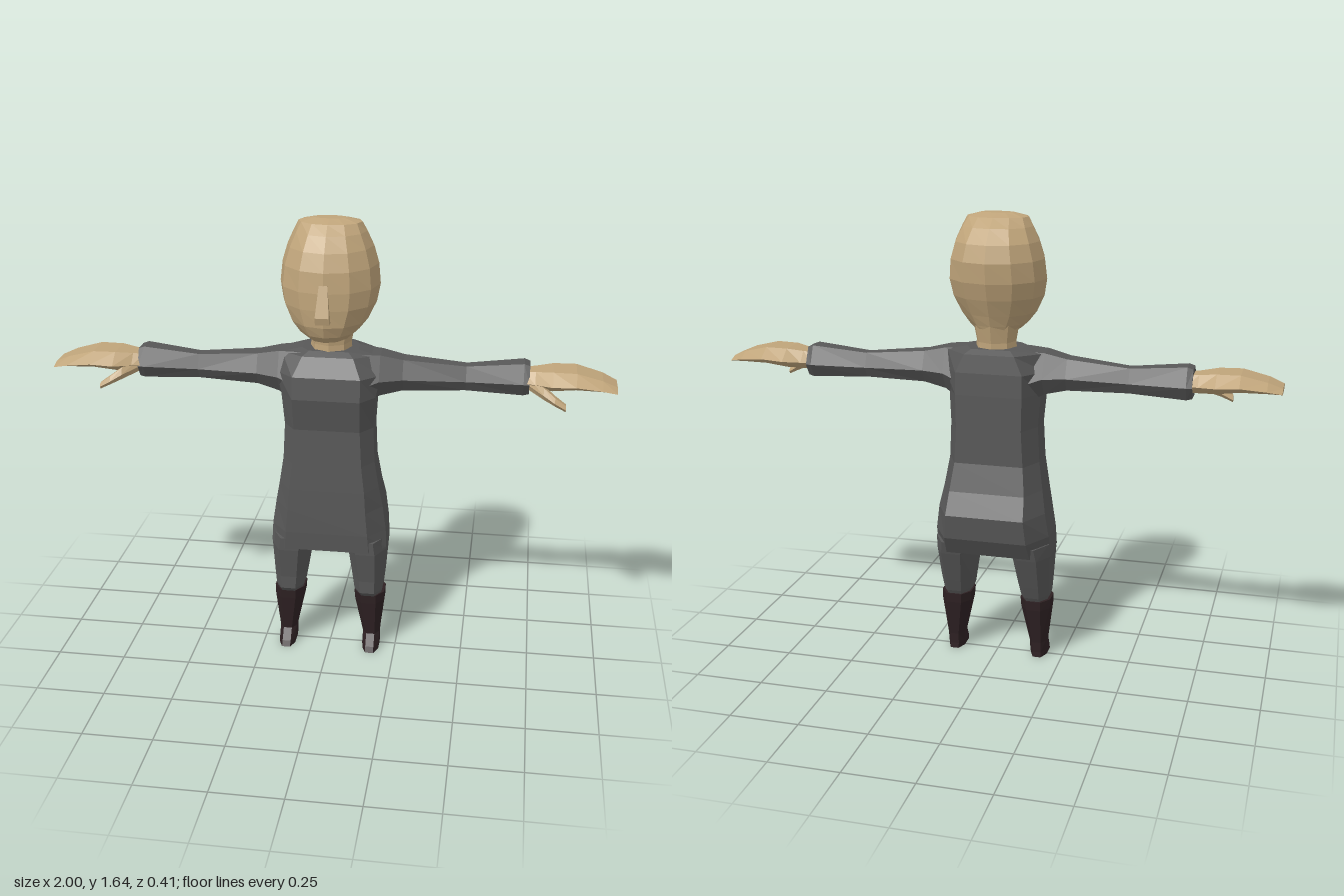
import * as THREE from 'three';

const skin = new THREE.MeshStandardMaterial({ color: 0xbfa47a });
skin.name = 'skin';
const suit = new THREE.MeshStandardMaterial({ color: 0x585858 });
suit.name = 'suit grey';
const leather = new THREE.MeshStandardMaterial({ color: 0x2e2123 });
leather.name = 'boot brown';

// Faceted skin over a row of equal-length rings of [x, y, z], capped at both ends
function loft(name, rings, material) {
  const tris = [];
  const n = rings[0].length;
  const middle = (ring) => [0, 1, 2].map((k) => ring.reduce((s, p) => s + p[k], 0) / n);
  for (let i = 0; i < rings.length - 1; i++) {
    for (let j = 0; j < n; j++) {
      const k = (j + 1) % n;
      const a = rings[i][j], b = rings[i][k], c = rings[i + 1][k], d = rings[i + 1][j];
      tris.push([a, b, c], [a, c, d]);
    }
  }
  const first = rings[0], last = rings[rings.length - 1];
  for (let j = 0; j < n; j++) {
    const k = (j + 1) % n;
    tris.push([middle(first), first[k], first[j]], [middle(last), last[j], last[k]]);
  }
  // Turn every face outward, whichever way the rings run
  const volume = tris.reduce((s, [a, b, c]) => s
    + a[0] * (b[1] * c[2] - b[2] * c[1])
    + a[1] * (b[2] * c[0] - b[0] * c[2])
    + a[2] * (b[0] * c[1] - b[1] * c[0]), 0);
  if (volume < 0) tris.forEach((t) => t.reverse());
  const geometry = new THREE.BufferGeometry();
  geometry.setAttribute('position', new THREE.Float32BufferAttribute(tris.flat(2), 3));
  geometry.computeVertexNormals();
  const mesh = new THREE.Mesh(geometry, material);
  mesh.name = name;
  return mesh;
}

// Horizontal oval ring
function oval(y, halfWidth, back, front, sides = 12) {
  return Array.from({ length: sides }, (_, i) => {
    const a = (i / sides) * Math.PI * 2;
    return [Math.sin(a) * halfWidth, y, (front + back) / 2 + Math.cos(a) * (front - back) / 2];
  });
}

// Horizontal body ring: flat chest panel, bevelled sides, narrower back panel
function bodyRing([y, panel, width, back, front]) {
  const depth = front - back;
  const half = [
    [panel, y, front], [width, y, front - depth * 0.25],
    [width, y, back + depth * 0.35], [panel, y, back],
  ];
  return [...half, ...half.map(([x, h, z]) => [-x, h, z]).reverse()];
}

// Horizontal leg ring with chamfered corners
function legRing(side, [y, inner, outer, back, front]) {
  const cx = (outer - inner) * 0.25, cz = (front - back) * 0.28;
  return [
    [inner + cx, y, front], [outer - cx, y, front], [outer, y, front - cz], [outer, y, back + cz],
    [outer - cx, y, back], [inner + cx, y, back], [inner, y, back + cz], [inner, y, front - cz],
  ].map(([x, h, z]) => [x * side, h, z]);
}

// Six-sided ring across the arm, with a ridge along its front and back
function armRing(side, [x, bottom, top, back, front]) {
  const ridge = bottom + (top - bottom) * 0.42, inset = (front - back) * 0.24;
  return [
    [top, front - inset], [ridge, front], [bottom, front - inset],
    [bottom, back + inset], [ridge, back], [top, back + inset],
  ].map(([y, z]) => [x * side, y, z]);
}

function createHead() {
  const head = new THREE.Group();
  head.name = 'head';
  // [y, half width, back, front]
  const skull = [
    [1.645, 0.06, -0.025, 0.03], [1.632, 0.11, -0.075, 0.075], [1.6, 0.127, -0.12, 0.11],
    [1.55, 0.15, -0.165, 0.148], [1.49, 0.168, -0.182, 0.172], [1.42, 0.175, -0.175, 0.18],
    [1.36, 0.164, -0.155, 0.18], [1.3, 0.135, -0.128, 0.175], [1.262, 0.105, -0.113, 0.16],
    [1.238, 0.078, -0.104, 0.135],
  ];
  head.add(loft('skull', skull.map((r) => oval(...r)), skin));
  head.add(loft('neck', [
    oval(1.27, 0.085, -0.115, 0.06, 8), oval(1.2, 0.072, -0.1, 0.052, 8), oval(1.14, 0.078, -0.1, 0.055, 8),
  ], skin));
  // Wedge nose
  const noseSide = (x) => [[x * 0.6, 1.45, 0.176], [x, 1.345, 0.207], [x, 1.32, 0.2], [x, 1.32, 0.15]];
  head.add(loft('nose', [noseSide(-0.024), noseSide(0.024)], skin));
  return head;
}

function createTorso() {
  // [y, panel half width, half width, back, front]
  return loft('torso', [
    [1.18, 0.07, 0.1, -0.105, 0.05], [1.165, 0.09, 0.17, -0.13, 0.075], [1.1, 0.12, 0.185, -0.138, 0.115],
    [1.02, 0.12, 0.168, -0.14, 0.123], [0.9, 0.118, 0.16, -0.14, 0.1], [0.77, 0.125, 0.166, -0.14, 0.105],
    [0.67, 0.137, 0.182, -0.168, 0.11], [0.59, 0.142, 0.197, -0.205, 0.112], [0.5, 0.15, 0.21, -0.193, 0.112],
    [0.43, 0.155, 0.213, -0.15, 0.107],
  ].map(bodyRing), suit);
}

function createLeg(side) {
  const leg = new THREE.Group();
  leg.name = side > 0 ? 'leftLeg' : 'rightLeg';
  // [y, inner x, outer x, back, front]
  leg.add(loft('trouserLeg', [
    [0.47, 0.05, 0.211, -0.16, 0.107], [0.42, 0.07, 0.213, -0.145, 0.104], [0.3, 0.088, 0.205, -0.1, 0.083],
    [0.25, 0.096, 0.2, -0.08, 0.08], [0.225, 0.105, 0.195, -0.065, 0.06],
  ].map((r) => legRing(side, r)), suit));
  leg.add(loft('boot', [
    [0.235, 0.095, 0.207, -0.076, 0.066], [0.2, 0.098, 0.206, -0.074, 0.064], [0.06, 0.128, 0.19, -0.047, 0.045],
    [0.02, 0.128, 0.19, -0.044, 0.075], [0, 0.13, 0.19, -0.045, 0.086],
  ].map((r) => legRing(side, r)), leather));
  return leg;
}

function createArm(side) {
  const arm = new THREE.Group();
  arm.name = side > 0 ? 'leftArm' : 'rightArm';
  // [x, bottom, top, back, front]
  arm.add(loft('sleeve', [
    [0.1, 0.97, 1.172, -0.12, 0.1], [0.18, 1.02, 1.168, -0.095, 0.072], [0.26, 1.038, 1.15, -0.082, 0.048],
    [0.48, 1.042, 1.13, -0.07, 0.016], [0.68, 1.035, 1.15, -0.097, 0.03], [0.7, 1.04, 1.143, -0.092, 0.028],
  ].map((r) => armRing(side, r)), suit));
  arm.add(loft('hand', [
    [0.68, 1.06, 1.122, -0.08, 0.022], [0.72, 1.062, 1.126, -0.096, 0.04], [0.78, 1.066, 1.134, -0.124, 0.077],
    [0.86, 1.076, 1.135, -0.127, 0.085], [0.95, 1.074, 1.113, -0.108, 0.08], [1, 1.07, 1.092, -0.086, 0.07],
  ].map((r) => armRing(side, r)), skin));
  arm.add(loft('thumb', [
    [0.7, 1.062, 1.105, -0.015, 0.028], [0.75, 1.043, 1.085, 0.015, 0.068],
    [0.79, 1.026, 1.056, 0.035, 0.083], [0.828, 1.008, 1.03, 0.045, 0.083],
  ].map((r) => armRing(side, r)), skin));
  return arm;
}

export function createModel() {
  const model = new THREE.Group();
  model.name = 'figure';
  model.add(createHead(), createTorso());
  for (const side of [1, -1]) model.add(createArm(side), createLeg(side));
  return model;
}
